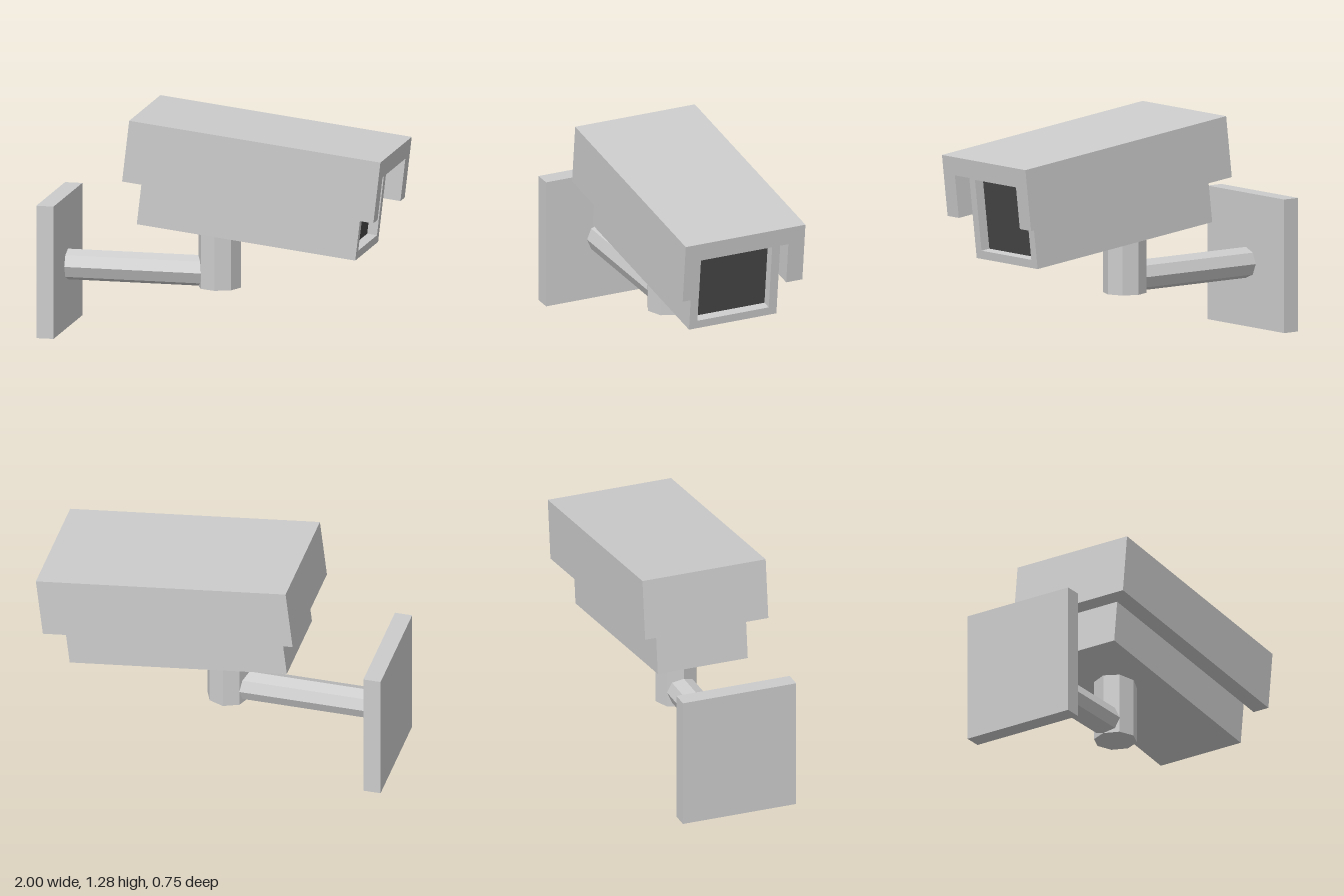
import * as THREE from 'three';

const grey = new THREE.MeshStandardMaterial({ color: 0xcccccc, flatShading: true });
const dark = new THREE.MeshStandardMaterial({ color: 0x474747, flatShading: true });

function add(parent, name, geometry, x, y, z = 0, material = grey) {
  const mesh = new THREE.Mesh(geometry, material);
  mesh.name = name;
  mesh.position.set(x, y, z);
  parent.add(mesh);
  return mesh;
}

// Cross-section given as (z, y) points, swept along +x from the local origin
function sweep(points, length, hole) {
  const toVectors = (list) => list.map(([a, b]) => new THREE.Vector2(a, b));
  const shape = new THREE.Shape(toVectors(points));
  if (hole) shape.holes.push(new THREE.Path(toVectors(hole)));
  return new THREE.ExtrudeGeometry(shape, { depth: length, bevelEnabled: false }).rotateY(Math.PI / 2);
}

const rect = (halfWidth, low, high) => [
  [-halfWidth, low], [halfWidth, low], [halfWidth, high], [-halfWidth, high],
];

export function createModel() {
  const model = new THREE.Group();
  model.name = 'securityCamera';

  // Wall mount: plate, horizontal arm and upright post
  add(model, 'wallPlate', new THREE.BoxGeometry(0.1, 0.76, 0.685), -0.95, 0.38);
  const arm = new THREE.CylinderGeometry(0.088, 0.088, 0.84, 8).rotateZ(Math.PI / 2);
  add(model, 'arm', arm, -0.49, 0.363);
  add(model, 'post', new THREE.CylinderGeometry(0.123, 0.123, 0.425, 8), -0.022, 0.4875);

  // Tilted head, with its origin at the middle of the cover
  const head = new THREE.Group();
  head.name = 'head';
  head.position.set(0.2525, 1.02, 0);
  head.rotation.z = -0.1163;
  model.add(head);

  const back = -0.7325, bottom = -0.1765, top = 0.1765; // cover
  const bodyBack = -0.642, bodyFront = 0.632, bodyBottom = -0.43, bodyTop = 0.07;
  const outer = 0.3725, inner = 0.272, recess = 0.06;

  // Cover: a channel open at the front and below, closed behind
  const channel = [
    [-outer, bottom], [-inner, bottom], [-inner, bodyTop], [inner, bodyTop],
    [inner, bottom], [outer, bottom], [outer, top], [-outer, top],
  ];
  add(head, 'cover', sweep(channel, 1.465), back, 0);
  add(head, 'coverBack', sweep(rect(inner, bottom, bodyTop), bodyBack - back), back, 0);

  // Body with a frame around the recessed window
  const section = rect(inner, bodyBottom, bodyTop);
  add(head, 'body', sweep(section, bodyFront - recess - bodyBack), bodyBack, 0);
  add(head, 'windowFrame', sweep(section, recess, rect(0.222, -0.382, 0.028)), bodyFront - recess, 0);
  const glass = new THREE.PlaneGeometry(0.444, 0.41).rotateY(Math.PI / 2);
  add(head, 'window', glass, bodyFront - recess + 0.003, -0.177, 0, dark);

  return model;
}
